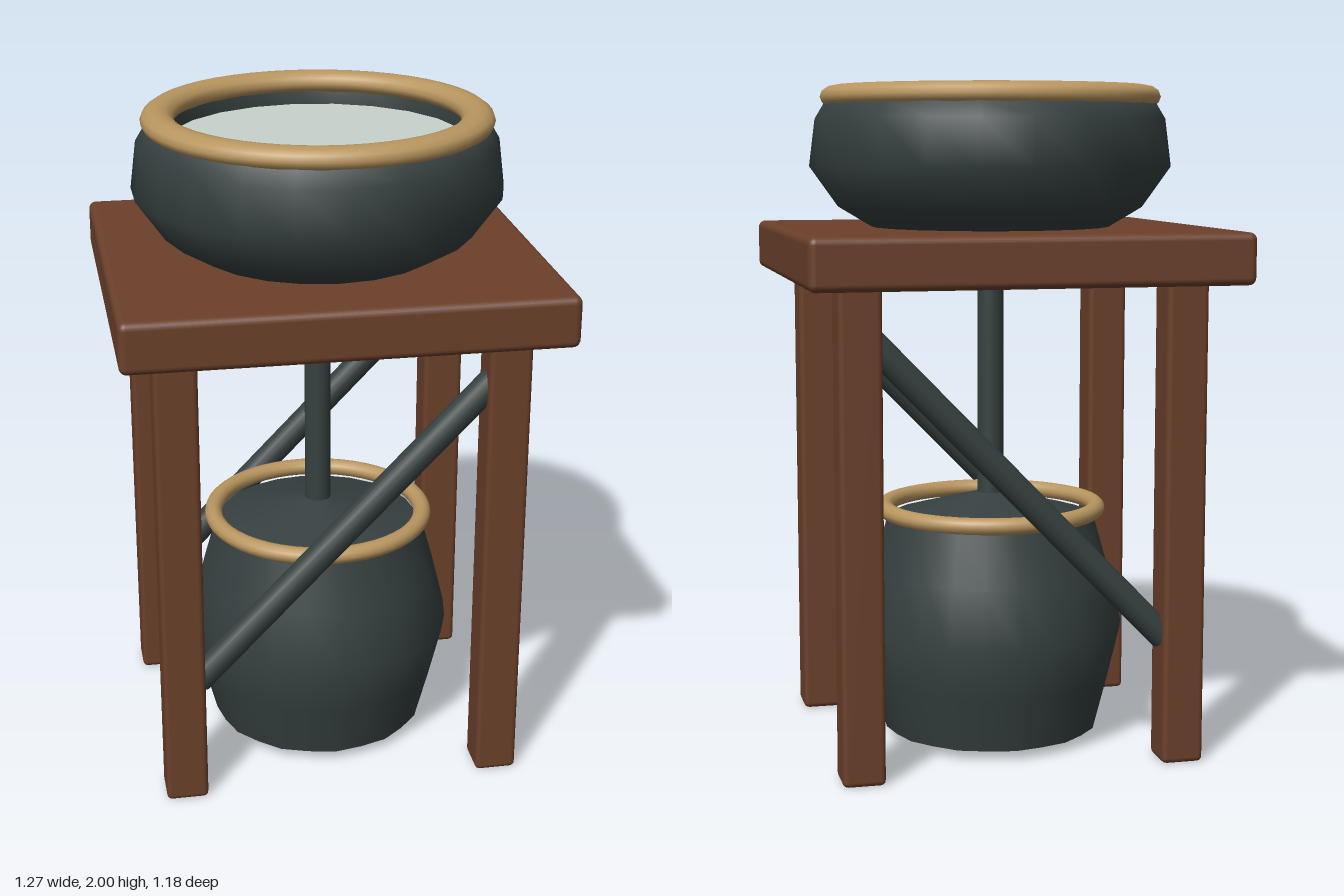
import * as THREE from 'three';
import { mergeVertices } from 'three/addons/utils/BufferGeometryUtils.js';
import { RoundedBoxGeometry } from 'three/addons/geometries/RoundedBoxGeometry.js';

const material = (name, color) => {
  const m = new THREE.MeshStandardMaterial({ color });
  m.name = name;
  return m;
};

export function createModel() {
  const model = new THREE.Group();
  model.name = 'washstand';
  const wood = material('brown wood', 0x6b402a);
  const iron = material('dark iron', 0x364040);
  const brass = material('tan rim', 0xb9965f);
  const water = material('pale water', 0xc6d3cc);

  const add = (name, geometry, mat, x = 0, y = 0, z = 0, parent = model) => {
    const mesh = new THREE.Mesh(geometry, mat);
    mesh.name = name;
    mesh.position.set(x, y, z);
    parent.add(mesh);
    return mesh;
  };

  const lathe = (points, sides) =>
    new THREE.LatheGeometry(points.map(([r, y]) => new THREE.Vector2(r, y)), sides);

  // Ring lying flat, with its own height factor
  const ring = (radius, tube, squash) =>
    new THREE.TorusGeometry(radius, tube, 12, 48).rotateX(Math.PI / 2).scale(1, squash, 1);

  // Pulls in every second side so the bucket looks built of staves
  const staves = (geometry) => {
    const p = geometry.attributes.position;
    for (let i = 0; i < p.count; i++) {
      const k = 1 + 0.008 * Math.cos(12 * Math.atan2(p.getZ(i), p.getX(i)));
      p.setXYZ(i, p.getX(i) * k, p.getY(i), p.getZ(i) * k);
    }
    geometry.deleteAttribute('uv');
    geometry.deleteAttribute('normal');
    const merged = mergeVertices(geometry, 1e-4);
    merged.computeVertexNormals();
    return merged;
  };

  // Table
  add('tableTop', new RoundedBoxGeometry(1.275, 0.15, 1.18, 3, 0.022), wood, 0, 1.505, 0);
  for (const x of [-1, 1]) {
    for (const z of [-1, 1]) {
      add('leg', new RoundedBoxGeometry(0.125, 1.435, 0.125, 2, 0.016), wood, x * 0.477, 0.7225, z * 0.403);
    }
  }

  // Diagonal braces, front and back
  const from = new THREE.Vector2(-0.43, 0.38), to = new THREE.Vector2(0.45, 1.29);
  const span = to.clone().sub(from);
  for (const z of [-1, 1]) {
    const brace = add('brace', new THREE.CylinderGeometry(0.041, 0.041, span.length(), 16), iron,
      (from.x + to.x) / 2, (from.y + to.y) / 2, z * 0.403);
    brace.rotation.z = span.angle() - Math.PI / 2;
  }

  // Basin on the table
  const basin = new THREE.Group();
  basin.name = 'basin';
  model.add(basin);
  add('basinBowl', lathe([
    [0, 1.578], [0.36, 1.58], [0.46, 1.64], [0.545, 1.76], [0.527, 1.9], [0.5, 1.945],
    [0.46, 1.965], [0.435, 1.94], [0.44, 1.86],
  ], 22), iron, 0, 0, 0, basin);
  add('basinRim', ring(0.462, 0.049, 0.7), brass, 0, 1.966, 0, basin);
  add('basinWater', new THREE.CircleGeometry(0.445, 48).rotateX(-Math.PI / 2), water, 0, 1.9, 0, basin);

  // Drain pipe
  add('drainPipe', new THREE.CylinderGeometry(0.04, 0.04, 0.7, 20), iron, 0, 1.09, 0);

  // Bucket below
  const bucket = new THREE.Group();
  bucket.name = 'bucket';
  model.add(bucket);
  add('bucketBody', staves(lathe([
    [0.328, 0.035], [0.37, 0.2], [0.408, 0.36], [0.366, 0.53], [0.312, 0.72],
  ], 24)), iron, 0, 0, 0, bucket);
  add('bucketBase', staves(new THREE.CircleGeometry(0.328, 24).rotateX(Math.PI / 2)), iron, 0, 0.035, 0, bucket);
  add('bucketLid', new THREE.ConeGeometry(0.31, 0.085, 24, 1, true), iron, 0, 0.733, 0, bucket);
  add('bucketRim', ring(0.326, 0.027, 0.95), brass, 0, 0.717, 0, bucket);

  return model;
}
